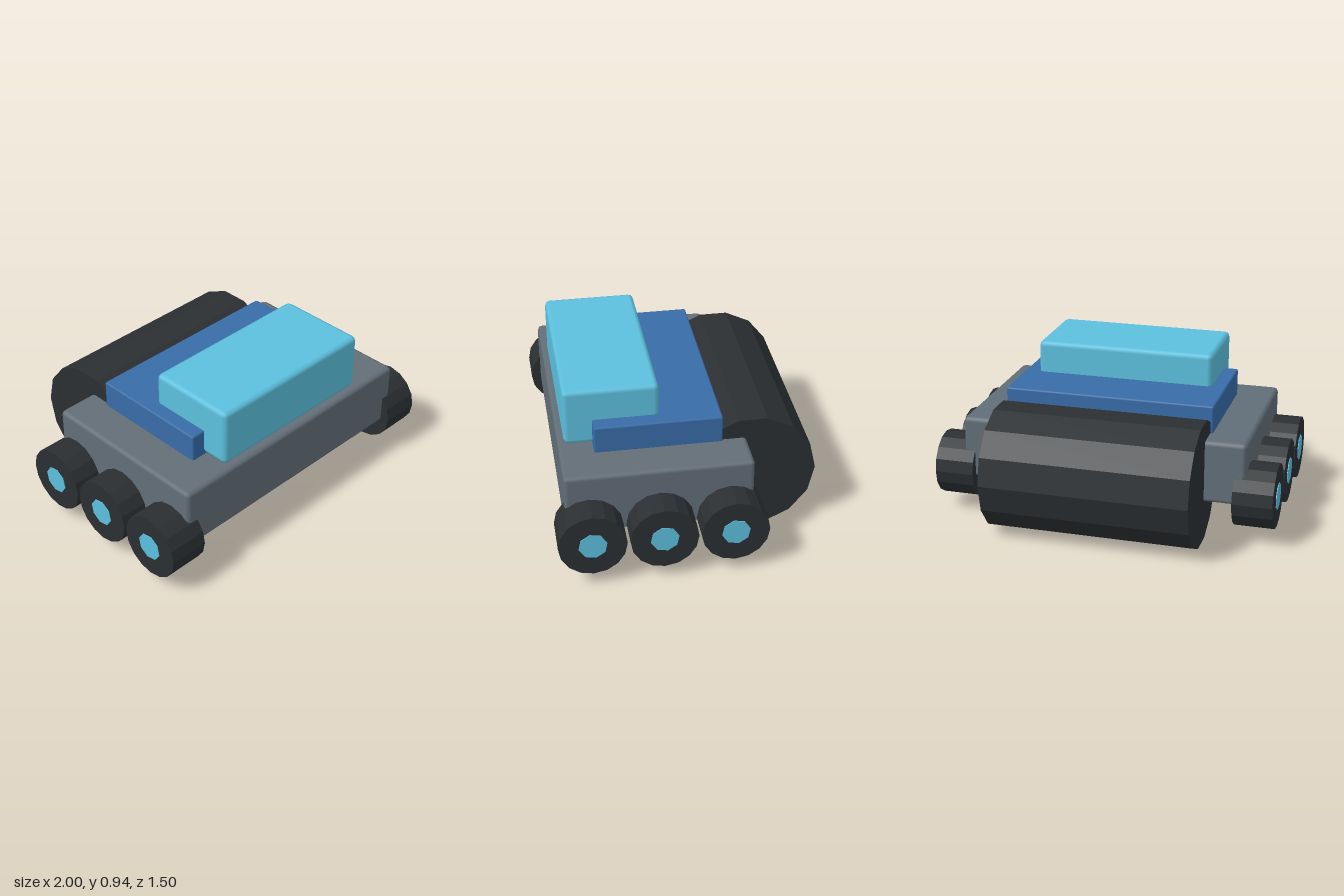
import * as THREE from 'three';
import { RoundedBoxGeometry } from 'three/addons/geometries/RoundedBoxGeometry.js';

const paint = (color, flatShading = false) => new THREE.MeshStandardMaterial({ color, flatShading });
const GREY = paint(0x626e78);
const BLUE = paint(0x386ca8);
const CYAN = paint(0x5cc0de);
const HUB = paint(0x5cc0de, true);
const RUBBER = paint(0x2b2f32, true);

// Bevelled block given by its minimum and maximum corners
function block(name, [x0, y0, z0], [x1, y1, z1], bevel, material) {
  const geometry = new RoundedBoxGeometry(x1 - x0, y1 - y0, z1 - z0, 1, bevel);
  const mesh = new THREE.Mesh(geometry, material);
  mesh.name = name;
  mesh.position.set((x0 + x1) / 2, (y0 + y1) / 2, (z0 + z1) / 2);
  return mesh;
}

// Faceted cylinder lying along the x axis
function drum(name, radius, width, sides, material, start = 0) {
  const geometry = new THREE.CylinderGeometry(radius, radius, width, sides, 1, false, start);
  geometry.rotateZ(Math.PI / 2);
  const mesh = new THREE.Mesh(geometry, material);
  mesh.name = name;
  return mesh;
}

// Tyre with a hub that shows on both faces
function wheel(name) {
  const group = new THREE.Group();
  group.name = name;
  group.add(drum('tyre', 0.187, 0.23, 16, RUBBER));
  group.add(drum('hub', 0.079, 0.238, 8, HUB, 0.59));
  return group;
}

export function createModel() {
  const model = new THREE.Group();
  model.name = 'rollerVehicle';

  // Body, deck and cab
  model.add(block('chassis', [-0.832, 0.235, -0.347], [0.832, 0.6, 0.692], 0.025, GREY));
  model.add(block('deck', [-0.612, 0.585, -0.209], [0.612, 0.757, 0.5], 0.01, BLUE));
  model.add(block('cab', [-0.527, 0.607, 0.129], [0.527, 0.943, 0.657], 0.028, CYAN));

  // Wide rear roller
  const roller = drum('roller', 0.365, 1.195, 14, RUBBER);
  roller.position.set(0, 0.356, -0.382);
  model.add(roller);

  // Three wheels on each side
  const rows = { front: 0.562, middle: 0.173, rear: -0.216 };
  for (const [row, z] of Object.entries(rows)) {
    for (const side of [-1, 1]) {
      const w = wheel(row + (side > 0 ? 'Left' : 'Right') + 'Wheel');
      w.position.set(side * 0.881, 0.267, z);
      model.add(w);
    }
  }
  return model;
}
